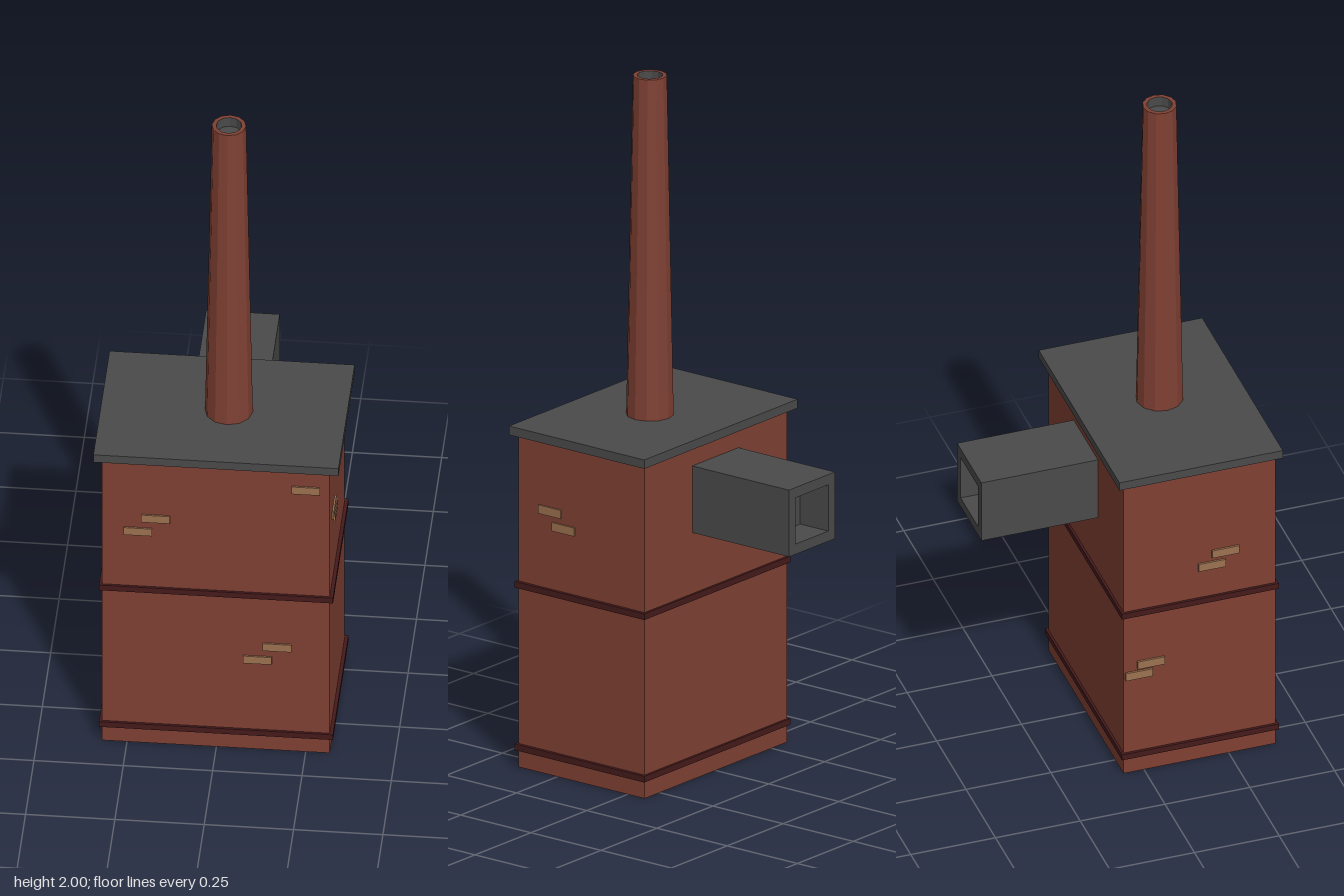
import * as THREE from 'three';

const mat = (name, color, flatShading = false) => {
  const m = new THREE.MeshStandardMaterial({ color, flatShading });
  m.name = name;
  return m;
};

export function createModel() {
  const group = new THREE.Group();
  const brickRed = mat('brickRed', 0x7f4033, true);
  const darkRed = mat('darkRed', 0x451a1b);
  const tan = mat('tanBrick', 0x9c7150);
  const grey = mat('darkGrey', 0x4a4a4a, true);

  const add = (name, geometry, material) => {
    const mesh = new THREE.Mesh(geometry, material);
    mesh.name = name;
    group.add(mesh);
    return mesh;
  };
  // Box given by its limits on each axis
  const box = (name, material, [x0, x1], [y0, y1], [z0, z1]) =>
    add(name, new THREE.BoxGeometry(x1 - x0, y1 - y0, z1 - z0), material)
      .position.set((x0 + x1) / 2, (y0 + y1) / 2, (z0 + z1) / 2);

  // Building, roof slab and the two bands around the walls
  box('walls', brickRed, [-0.32, 0.317], [0, 0.98], [-0.06, 0.388]);
  box('roof', grey, [-0.343, 0.343], [0.979, 1.005], [-0.08, 0.402]);
  for (const y of [0.06, 0.537])
    box('band', darkRed, [-0.328, 0.327], [y - 0.009, y + 0.009], [-0.067, 0.395]);

  // Exposed bricks: start along the wall and bottom height
  const w = 0.08, h = 0.025;
  for (const [x, y] of [[0.21, 0.9], [-0.21, 0.772], [-0.26, 0.725], [0.13, 0.347], [0.075, 0.3]])
    box('frontBrick', tan, [x, x + w], [y, y + h], [0.384, 0.393]);
  for (const [z, y] of [[0.235, 0.761], [0.188, 0.719]])
    box('leftBrick', tan, [0.313, 0.322], [y, y + h], [z, z + w]);
  for (const [z, y] of [[0.2, 0.674], [0.16, 0.637], [-0.02, 0.347], [-0.055, 0.315]])
    box('rightBrick', tan, [-0.326, -0.317], [y, y + h], [z, z + w]);

  // Tapered twelve-sided chimney with a recessed grey opening
  const lathe = (pts) => new THREE.LatheGeometry(pts.map(([r, y]) => new THREE.Vector2(r, y)), 12);
  const chimney = add('chimney', lathe([[0.067, 1.0], [0.048, 2], [0.036, 2]]), brickRed);
  const flue = add('chimneyOpening', lathe([[0.036, 2], [0.036, 1.97], [0, 1.97]]), grey);
  for (const m of [chimney, flue]) m.position.set(0.014, 0, 0.162);

  // Square duct at the back: solid inner length plus a hollow mouth
  const yMid = 0.823, rx = 0.103, ry = 0.098, wall = 0.03, depth = 0.1;
  const rect = (shape, a, b) =>
    shape.moveTo(-a, -b).lineTo(a, -b).lineTo(a, b).lineTo(-a, b).closePath();
  const outline = rect(new THREE.Shape(), rx, ry);
  outline.holes.push(rect(new THREE.Path(), rx - wall, ry - wall));
  const mouth = new THREE.ExtrudeGeometry(outline, { depth, bevelEnabled: false });
  add('ductMouth', mouth, grey).position.set(0, yMid, -0.404);
  box('duct', grey, [-rx, rx], [yMid - ry, yMid + ry], [-0.404 + depth, -0.05]);

  return group;
}
